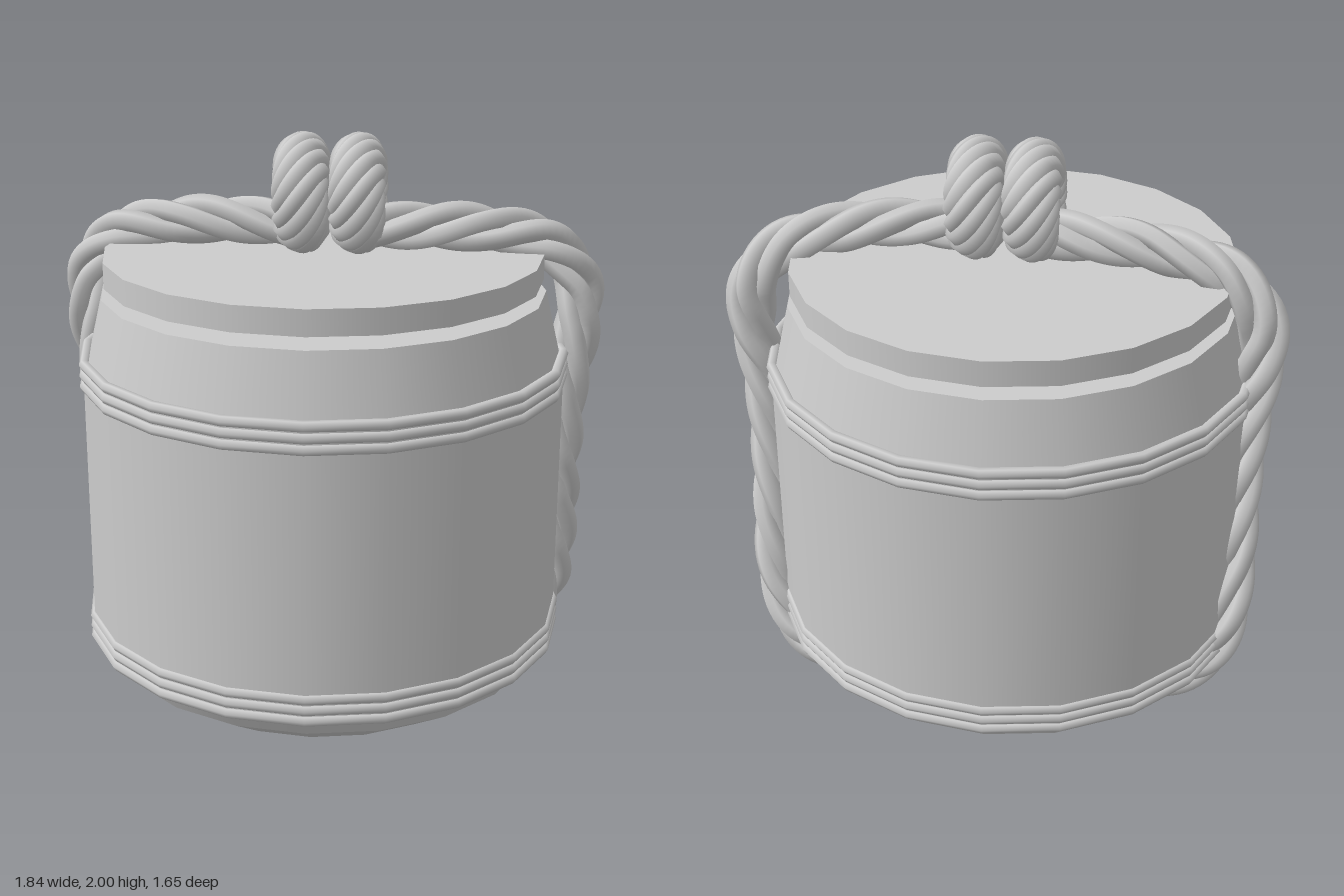
import * as THREE from 'three';

const SIDES = 20;
const CX = -0.02; // barrel axis
const mat = new THREE.MeshStandardMaterial({ color: 0xcccccc });
const matOpen = new THREE.MeshStandardMaterial({ color: 0xcccccc, side: THREE.DoubleSide });

function add(parent, name, geometry, x = 0, y = 0, z = 0, material = mat) {
  const mesh = new THREE.Mesh(geometry, material);
  mesh.name = name;
  mesh.position.set(x, y, z);
  parent.add(mesh);
  return mesh;
}

// Twisted strands laid around a centre path; sign of turns sets the hand of the twist
function twistedRope(name, path, { strands, offset, radius, turns, closed = false, steps }) {
  const group = new THREE.Group();
  group.name = name;
  const frames = path.computeFrenetFrames(steps, closed);
  for (let s = 0; s < strands; s++) {
    const points = [];
    const last = closed ? steps - 1 : steps;
    for (let i = 0; i <= last; i++) {
      const a = 2 * Math.PI * (s / strands + turns * i / steps);
      points.push(path.getPointAt(i / steps)
        .addScaledVector(frames.normals[i], offset * Math.cos(a))
        .addScaledVector(frames.binormals[i], offset * Math.sin(a)));
    }
    const curve = new THREE.CatmullRomCurve3(points, closed);
    add(group, 'strand', new THREE.TubeGeometry(curve, steps, radius, 6, closed), 0, 0, 0, matOpen);
  }
  return group;
}

function createBarrel() {
  const barrel = new THREE.Group();
  barrel.name = 'barrel';
  barrel.position.x = CX;

  // Stacked wall sections: name, bottom y, bottom radius, top y, top radius
  const sections = [
    ['lowerBevel', 0.10, 0.57, 0.21, 0.745],
    ['lowerCollar', 0.21, 0.745, 0.29, 0.79],
    ['wall', 0.29, 0.81, 1.26, 0.81],
    ['shoulder', 1.26, 0.795, 1.48, 0.742],
  ];
  for (const [name, y0, r0, y1, r1] of sections) {
    add(barrel, name, new THREE.CylinderGeometry(r1, r0, y1 - y0, SIDES), 0, (y0 + y1) / 2, 0);
  }

  // Floating lid
  add(barrel, 'lid', new THREE.CylinderGeometry(0.732, 0.732, 0.085, SIDES), 0, 1.561, 0);

  // Two bands of three hoops
  for (const base of [0.29, 1.192]) {
    for (let i = 0; i < 3; i++) {
      const hoop = add(barrel, 'hoop', new THREE.TorusGeometry(0.806, 0.018, 6, SIDES), 0, base + i * 0.037, 0);
      hoop.rotation.x = Math.PI / 2;
    }
  }
  return barrel;
}

// Half of the tie, from the knot over the lid, down the side and under the base
function createHalfRope(side) {
  const shift = side < 0 ? -0.05 : 0;
  const route = [
    [0.05, 1.69, 0.0], [0.25, 1.695, 0.01], [0.5, 1.685, -0.02], [0.72, 1.63, -0.07],
    [0.83, 1.5, -0.1], [0.84, 1.36, -0.1], [0.81, 1.15, -0.1], [0.795, 0.9, -0.12],
    [0.795, 0.6, -0.17], [0.78, 0.37, -0.21], [0.71, 0.2, -0.24], [0.56, 0.1, -0.23],
    [0.3, 0.085, -0.14], [0, 0.083, -0.06],
  ];
  const points = route.map(([x, y, z], i) => {
    const s = i < 1 || i > 9 ? 0 : shift;
    return new THREE.Vector3(side * x, y, z + s);
  });
  return twistedRope(side > 0 ? 'leftRope' : 'rightRope', new THREE.CatmullRomCurve3(points),
    { strands: 4, offset: 0.046, radius: 0.037, turns: -side * 4, steps: 140 });
}

// Two tight coils sitting side by side on the lid
function createKnot() {
  const knot = new THREE.Group();
  knot.name = 'knot';
  for (const side of [-1, 1]) {
    const ring = [];
    for (let i = 0; i < 24; i++) {
      const a = i / 24 * 2 * Math.PI;
      ring.push(new THREE.Vector3(0, 0.107 * Math.cos(a), 0.112 * Math.sin(a)));
    }
    const coil = twistedRope('coil', new THREE.CatmullRomCurve3(ring, true),
      { strands: 7, offset: 0.058, radius: 0.036, turns: 2, closed: true, steps: 64 });
    coil.position.set(0.005 + side * 0.092, 1.798, 0);
    knot.add(coil);
  }
  return knot;
}

export function createModel() {
  const model = new THREE.Group();
  model.name = 'ropeTiedBarrel';
  model.add(createBarrel(), createHalfRope(1), createHalfRope(-1), createKnot());
  return model;
}
